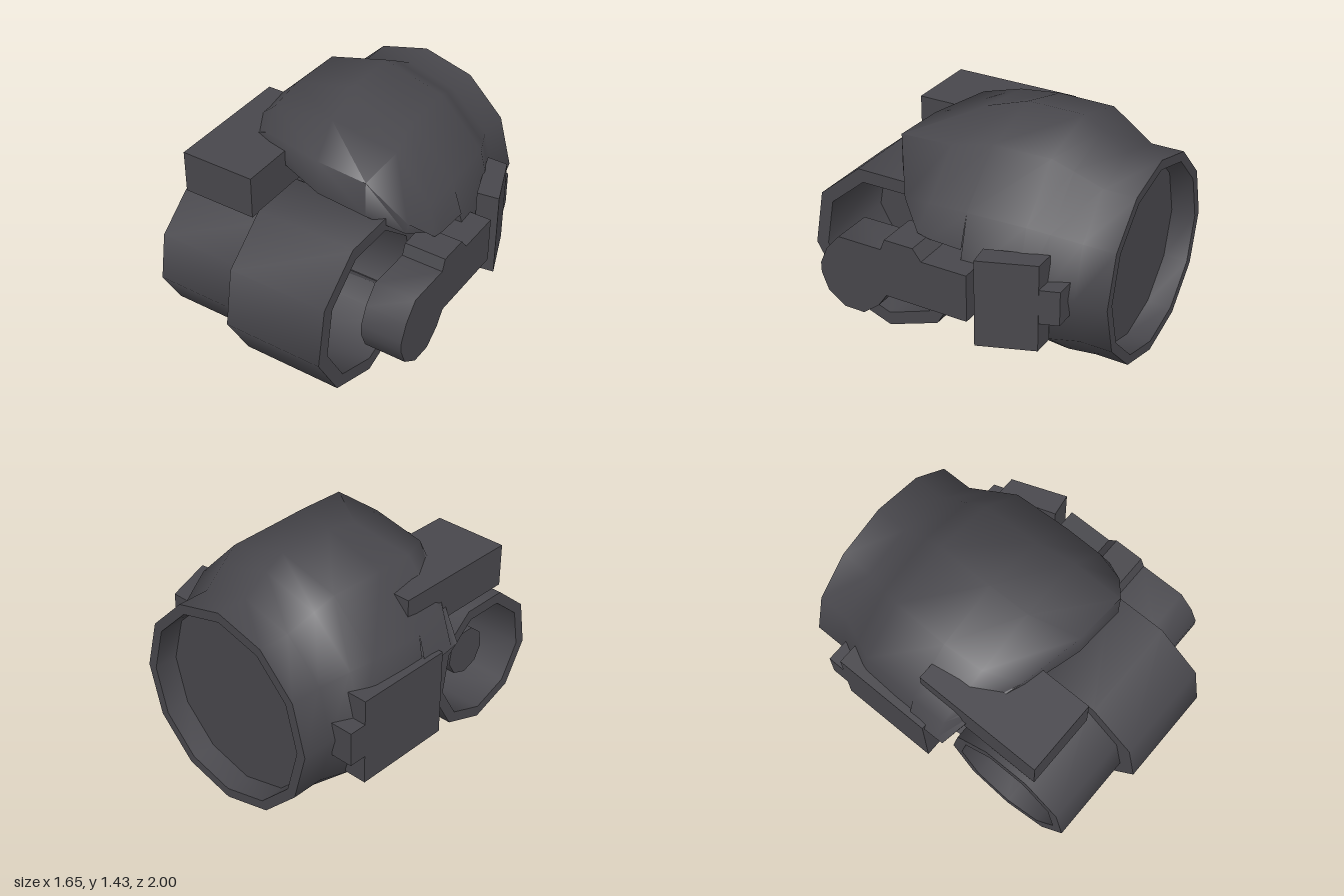
import * as THREE from 'three';
import { mergeGeometries, toCreasedNormals } from 'three/addons/utils/BufferGeometryUtils.js';

const darkGrey = new THREE.MeshStandardMaterial({ color: 0x48474c, side: THREE.DoubleSide });
darkGrey.name = 'darkGrey';

function mesh(name, geometry, crease = 0.9) {
  const m = new THREE.Mesh(toCreasedNormals(geometry, crease), darkGrey);
  m.name = name;
  return m;
}

// Skin over rows of points; closed rows wrap round.
function loft(rows, closed) {
  const n = rows[0].length, index = [];
  for (let i = 0; i < rows.length - 1; i++) {
    for (let j = 0; j < (closed ? n : n - 1); j++) {
      const k = (j + 1) % n;
      const a = i * n + j, b = i * n + k, c = b + n, d = a + n;
      index.push(a, b, d, b, c, d);
    }
  }
  const g = new THREE.BufferGeometry();
  g.setAttribute('position', new THREE.Float32BufferAttribute(rows.flat(2), 3));
  g.setIndex(index);
  return g;
}

function extrude(points, depth) {
  const shape = new THREE.Shape(points.map(([x, y]) => new THREE.Vector2(x, y)));
  return new THREE.ExtrudeGeometry(shape, { depth, bevelEnabled: false });
}

// Side outline of [z, y] points, stretched from x0 to x1
function sideProfile(points, x0, x1) {
  return extrude(points.map(([z, y]) => [-z, y]), x1 - x0).rotateY(Math.PI / 2).translate(x0, 0, 0);
}

// Floor plan of [x, z] points, stretched from y0 to y1
function floorPlan(points, y0, y1) {
  return extrude(points.map(([x, z]) => [x, -z]), y1 - y0).rotateX(-Math.PI / 2).translate(0, y0, 0);
}

// Nine-sided solid of revolution about the drum's axis from [radius, x] points
function turned(profile) {
  const points = profile.map(([r, x]) => new THREE.Vector2(r, x));
  return new THREE.LatheGeometry(points, 9, Math.PI / 2)
    .rotateZ(-Math.PI / 2).translate(0, 0.528, 0.48);
}

export function createModel() {
  const model = new THREE.Group();
  model.name = 'device';

  // Main housing: twelve-sided, with a recessed rear socket
  // [z, top radius, side radius, bottom radius]
  const sections = [
    [-0.85, 0, 0, 0], [-0.85, 0.57, 0.57, 0.57], [-1, 0.57, 0.57, 0.57],
    [-1, 0.63, 0.63, 0.63], [-0.8, 0.63, 0.63, 0.627], [-0.64, 0.725, 0.71, 0.617],
    [-0.52, 0.793, 0.77, 0.575], [-0.16, 0.793, 0.79, 0.43], [-0.16, 0, 0, 0],
  ];
  const rings = sections.map(([z, top, side, bottom]) =>
    Array.from({ length: 12 }, (_, j) => {
      const a = (j / 12) * Math.PI * 2, s = Math.sin(a);
      const x = Math.max(-0.825, -0.075 + side * Math.cos(a));
      return [x, 0.635 + s * (s > 0 ? top : bottom), z];
    }));

  // Hood reaching forward over the drum, open underneath
  const hoodRows = [
    [[0.675, 0.83, -0.16], ...rings[7].slice(1, 6), [-0.815, 0.83, -0.16]],
    [[0.67, 0.835, 0.05], [0.61, 1.02, 0.09], [0.375, 1.285, 0.08], [-0.05, 1.352, 0.09],
      [-0.45, 1.3, 0.09], [-0.755, 1.03, 0.06], [-0.82, 0.87, 0.05]],
    [[0.665, 0.85, 0.13], [0.57, 0.99, 0.27], [0.38, 1.275, 0.405], [0.05, 1.28, 0.385],
      [-0.36, 1.27, 0.3], [-0.56, 1.15, 0.21], [-0.82, 0.88, 0.1]],
    [[0.64, 0.83, 0.06], [0.55, 0.9, 0.25], [0.38, 1.05, 0.405], [0.05, 1.06, 0.385],
      [-0.3, 1.14, 0.31], [-0.56, 1.1, 0.2], [-0.78, 0.835, 0.06]],
  ];
  model.add(mesh('housing', mergeGeometries([loft(rings.slice(0, 8), true), loft(hoodRows, false)]), 1.5));
  model.add(mesh('housingFront', loft(rings.slice(7), true)));

  // Lower lip continuing the housing under the drum
  const lipRows = [
    [[0.48, 0.35], [-0.63, 0.35], [-0.465, 0.263], [-0.075, 0.205], [0.315, 0.263]].map(([x, y]) => [x, y, -0.16]),
    [[0.48, 0.335], [-0.6, 0.335], [-0.45, 0.31], [-0.075, 0.262], [0.3, 0.31]].map(([x, y]) => [x, y, 0.12]),
    Array.from({ length: 5 }, () => [-0.075, 0.31, 0.13]),
  ];
  model.add(mesh('lowerLip', loft(lipRows, true)));

  // Stepped cross drum, hollow from both ends
  model.add(mesh('drum', turned([
    [0, -0.2], [0.355, -0.2], [0.355, -0.71], [0.424, -0.71], [0.424, -0.16], [0.527, -0.16],
    [0.527, 0.465], [0.44, 0.465], [0.44, -0.1], [0, -0.1],
  ])));

  // Axle stub inside the smaller end of the drum
  model.add(mesh('axle', turned([[0, -0.59], [0.15, -0.59], [0.15, -0.15], [0, -0.15]])));

  // Side arm with round end and small raised block
  model.add(mesh('sideArm', sideProfile([
    [0.284, 0.77], [0.257, 0.84], [0.07, 0.84], [0.016, 0.77], [-0.273, 0.77], [-0.273, 0.474],
    [0.257, 0.474], [0.316, 0.388], [0.42, 0.308], [0.55, 0.308], [0.664, 0.388],
    [0.707, 0.495], [0.707, 0.56], [0.66, 0.667], [0.57, 0.77],
  ], 0.55, 0.81)));

  // Block on top of the drum
  model.add(mesh('topBlock', new THREE.BoxGeometry(0.467, 0.265, 0.82).translate(-0.443, 1.086, 0.245)));

  // Side plates with rear tabs
  model.add(mesh('leftPlate', floorPlan([[0.57, -0.66], [0.7, -0.66], [0.825, -0.33], [0.69, -0.31]], 0.345, 0.892)));
  model.add(mesh('leftTab', floorPlan([[0.54, -0.77], [0.66, -0.77], [0.7, -0.655], [0.56, -0.655]], 0.525, 0.74)));
  model.add(mesh('rightPlate', floorPlan([[-0.83, -0.67], [-0.69, -0.67], [-0.69, -0.04], [-0.83, -0.04]], 0.345, 0.892)));
  model.add(mesh('rightTab', floorPlan([[-0.83, -0.78], [-0.69, -0.78], [-0.69, -0.66], [-0.83, -0.66]], 0.525, 0.74)));

  return model;
}
